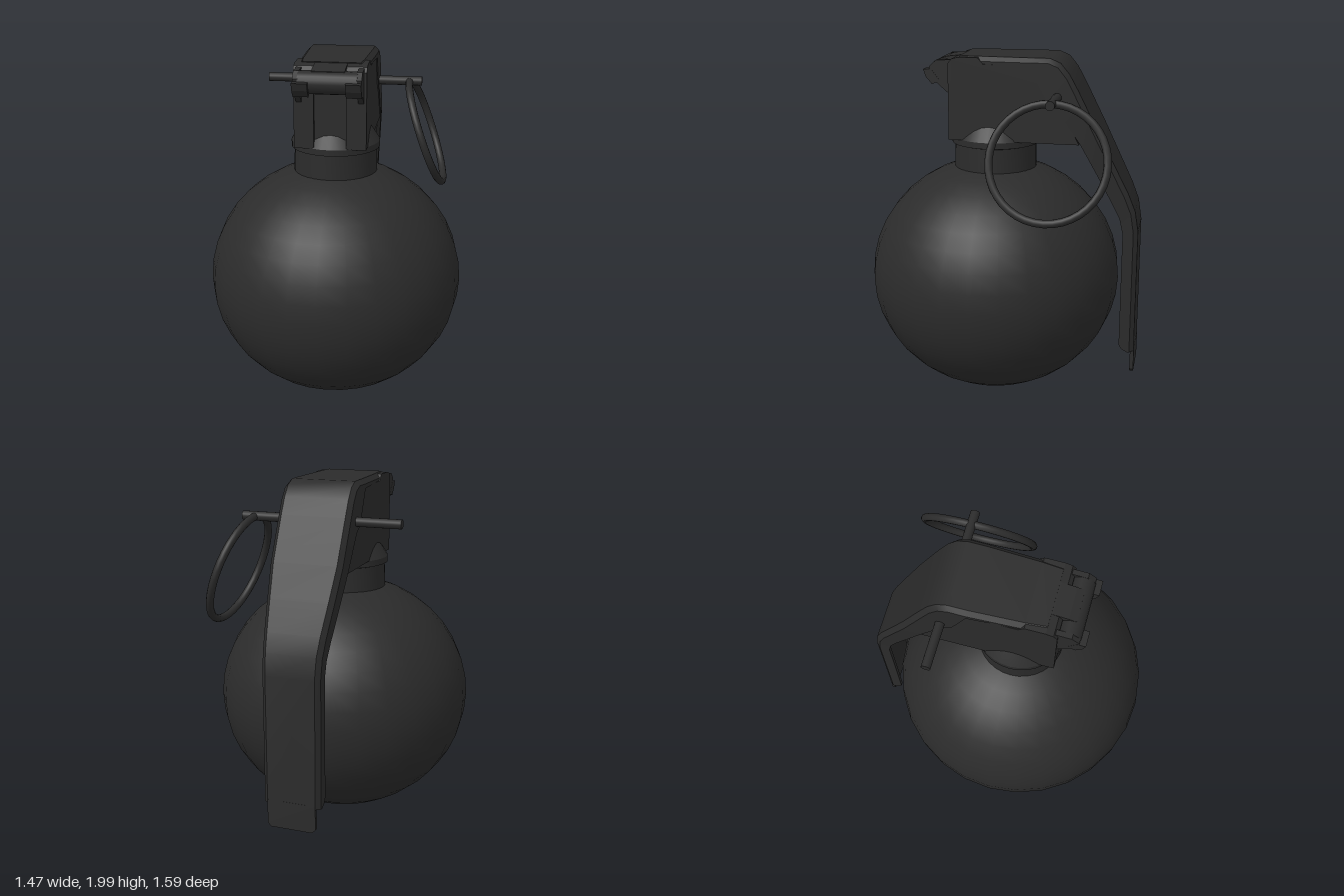
import * as THREE from 'three';
import { toCreasedNormals } from 'three/addons/utils/BufferGeometryUtils.js';

const AXIS_Z = 0.06; // the body sits slightly forward of centre
const material = new THREE.MeshStandardMaterial({ color: 0x2b2b2b });

function add(parent, name, geometry, x = 0, y = 0, z = 0) {
  const mesh = new THREE.Mesh(geometry, material);
  mesh.name = name;
  mesh.position.set(x, y, z);
  parent.add(mesh);
  return mesh;
}

// Side profile given as [z, y] points, extruded across x and centred on x = 0
function sideExtrude(points, width) {
  const shape = new THREE.Shape(points.map(([z, y]) => new THREE.Vector2(z, y)));
  const g = new THREE.ExtrudeGeometry(shape, { depth: width, bevelEnabled: false });
  return g.translate(0, 0, -width / 2).rotateY(-Math.PI / 2);
}

// Cylinder lying along x
function crossRod(radius, length, sides) {
  return new THREE.CylinderGeometry(radius, radius, length, sides).rotateZ(Math.PI / 2);
}

// U-shaped channel swept through stations [outerZ, outerY, flangeZ, flangeY, halfWidth]
function channel(stations) {
  const t = 0.022, bevel = 0.025, pos = [], index = [], n = 10;
  for (const [oz, oy, iz, iy, w] of stations) {
    const d = Math.hypot(iz - oz, iy - oy);
    const dz = (iz - oz) / d, dy = (iy - oy) / d;
    const section = [
      [-w, d], [-w, bevel], [bevel - w, 0], [w - bevel, 0], [w, bevel], [w, d],
      [w - t, d], [w - t, t], [t - w, t], [t - w, d],
    ];
    for (const [x, s] of section) pos.push(x, oy + dy * s, oz + dz * s);
  }
  const last = stations.length - 1;
  for (let i = 0; i < last; i++) {
    for (let j = 0; j < n; j++) {
      const a = i * n + j, b = i * n + (j + 1) % n;
      index.push(a, b, b + n, a, b + n, a + n);
    }
  }
  const cap = [[0, 1, 8], [0, 8, 9], [1, 2, 8], [2, 3, 8], [3, 7, 8], [3, 4, 7], [4, 5, 7], [5, 6, 7]];
  for (const [a, b, c] of cap) {
    index.push(a, c, b);
    index.push(last * n + a, last * n + b, last * n + c);
  }
  const g = new THREE.BufferGeometry();
  g.setAttribute('position', new THREE.Float32BufferAttribute(pos, 3));
  g.setIndex(index);
  return toCreasedNormals(g, 0.5);
}

export function createModel() {
  const model = new THREE.Group();
  model.name = 'model';

  // Round body, slightly flattened
  const body = add(model, 'body', new THREE.SphereGeometry(0.735, 28, 20), 0, 0.7, AXIS_Z);
  body.scale.y = 0.94;

  // Neck, collar lip and the cone that runs up into the head
  const neckProfile = [[0.24, 1.28], [0.235, 1.49], [0.252, 1.495], [0.252, 1.53], [0.2, 1.61], [0.1, 1.74], [0, 1.74]]
    .map(([r, y]) => new THREE.Vector2(r, y));
  add(model, 'neck', toCreasedNormals(new THREE.LatheGeometry(neckProfile, 32), 0.5), 0, 0, AXIS_Z);

  // Head: core block with two front cheeks that leave a shallow slot between them
  const head = new THREE.Group();
  head.name = 'head';
  model.add(head);
  add(head, 'headCore', sideExtrude([
    [0.265, 1.53], [0.265, 1.92], [0.22, 1.985], [-0.27, 1.985], [-0.34, 1.95],
    [-0.39, 1.87], [-0.47, 1.7], [-0.46, 1.53],
  ], 0.35));
  for (const side of [-1, 1]) {
    add(head, 'headCheek', sideExtrude([
      [0.29, 1.53], [0.29, 1.96], [0.27, 1.985], [0.23, 1.995], [0.12, 1.995],
      [0.09, 1.96], [-0.2, 1.955], [-0.28, 1.85], [-0.45, 1.53],
    ], 0.11), side * 0.145);
  }

  // Hinge at the front: barrel, side brackets, hooks and the tongue of the lever
  const hinge = new THREE.Group();
  hinge.name = 'hinge';
  model.add(hinge);
  add(hinge, 'hingeBarrel', crossRod(0.063, 0.32, 18), 0, 1.912, 0.342);
  add(hinge, 'leverTongue', sideExtrude([
    [0.2, 1.998], [0.24, 1.995], [0.32, 1.985], [0.36, 1.975], [0.36, 1.955], [0.2, 1.955],
  ].reverse(), 0.18));
  for (const side of [-1, 1]) {
    add(hinge, 'hingeBracket', sideExtrude([
      [0.24, 1.79], [0.29, 1.79], [0.36, 1.85], [0.395, 1.88], [0.4, 1.94], [0.36, 1.975], [0.24, 1.98],
    ], 0.03), side * 0.17);
    add(hinge, 'hingeHook', sideExtrude([
      [0.34, 1.86], [0.385, 1.84], [0.42, 1.88], [0.435, 1.922], [0.39, 1.925],
    ], 0.085), side * 0.143);
  }

  // Lever: bent channel over the head and down the back
  const lever = new THREE.Group();
  lever.name = 'lever';
  model.add(lever);
  add(lever, 'leverChannel', channel([
    [0.23, 2.0, 0.23, 1.965, 0.185],
    [0.12, 2.0, 0.12, 1.962, 0.195],
    [-0.18, 2.0, -0.18, 1.95, 0.207],
    [-0.28, 2.0, -0.23, 1.84, 0.207],
    [-0.34, 1.975, -0.25, 1.8, 0.207],
    [-0.39, 1.915, -0.27, 1.76, 0.207],
    [-0.44, 1.825, -0.32, 1.73, 0.207],
    [-0.56, 1.59, -0.46, 1.53, 0.205],
    [-0.65, 1.41, -0.56, 1.35, 0.19],
    [-0.73, 1.25, -0.64, 1.2, 0.175],
    [-0.77, 1.15, -0.685, 1.11, 0.168],
    [-0.79, 1.03, -0.705, 1.02, 0.165],
    [-0.792, 0.36, -0.706, 0.34, 0.165],
    [-0.793, 0.33, -0.72, 0.315, 0.165],
    [-0.794, 0.3, -0.755, 0.295, 0.165],
  ]));
  const tail = new THREE.Shape([[-0.14, 0.32], [-0.14, 0.18], [-0.12, 0.16], [0.12, 0.16], [0.14, 0.18], [0.14, 0.32]]
    .map(([x, y]) => new THREE.Vector2(x, y)));
  add(lever, 'leverTail', new THREE.ExtrudeGeometry(tail, { depth: 0.022, bevelEnabled: false }), 0, 0, -0.794);

  // Cross pin and its hanging ring
  add(model, 'crossPin', crossRod(0.026, 0.92, 14), 0, 1.79, -0.325);
  const ring = new THREE.TorusGeometry(0.318, 0.022, 10, 40).rotateY(Math.PI / 2).rotateZ(0.35);
  add(model, 'pullRing', ring, 0.495, 1.49, -0.322);

  return model;
}
